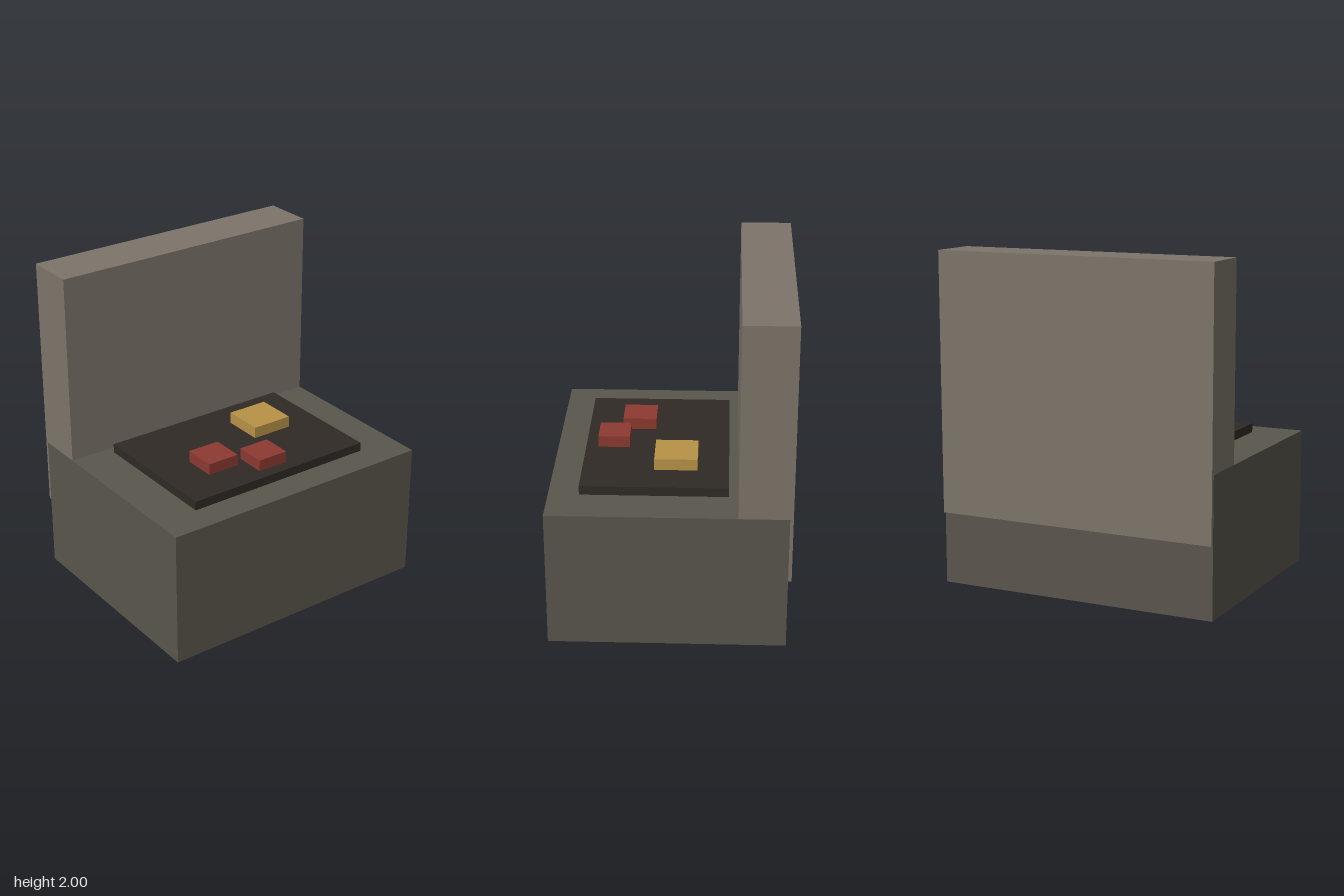
import * as THREE from 'three';

// Box given by its extents along each axis
function block(name, color, [x0, x1], [y0, y1], [z0, z1]) {
  const mesh = new THREE.Mesh(
    new THREE.BoxGeometry(x1 - x0, y1 - y0, z1 - z0),
    new THREE.MeshStandardMaterial({ color, flatShading: true })
  );
  mesh.position.set((x0 + x1) / 2, (y0 + y1) / 2, (z0 + z1) / 2);
  mesh.name = name;
  return mesh;
}

export function createModel() {
  const model = new THREE.Group();
  model.name = 'hearth';

  model.add(
    // Stone body and the back wall set into its rear edge
    block('base', 0x5a564d, [-0.87, 0.87], [0, 0.835], [-0.685, 0.705]),
    block('backWall', 0x7d756a, [-0.869, 0.869], [0.435, 2], [-0.705, -0.395]),
    // Dark bed on top
    block('bed', 0x2f2a25, [-0.61, 0.61], [0.83, 0.89], [-0.34, 0.525]),
    // Coloured blocks resting on the bed
    block('redBlockRight', 0x8c3a31, [-0.365, -0.16], [0.88, 0.96], [0.11, 0.315]),
    block('redBlockFront', 0x8c3a31, [-0.1, 0.095], [0.88, 0.96], [0.26, 0.45]),
    block('yellowBlock', 0xb89347, [0.13, 0.39], [0.88, 0.96], [-0.155, 0.1])
  );
  return model;
}
